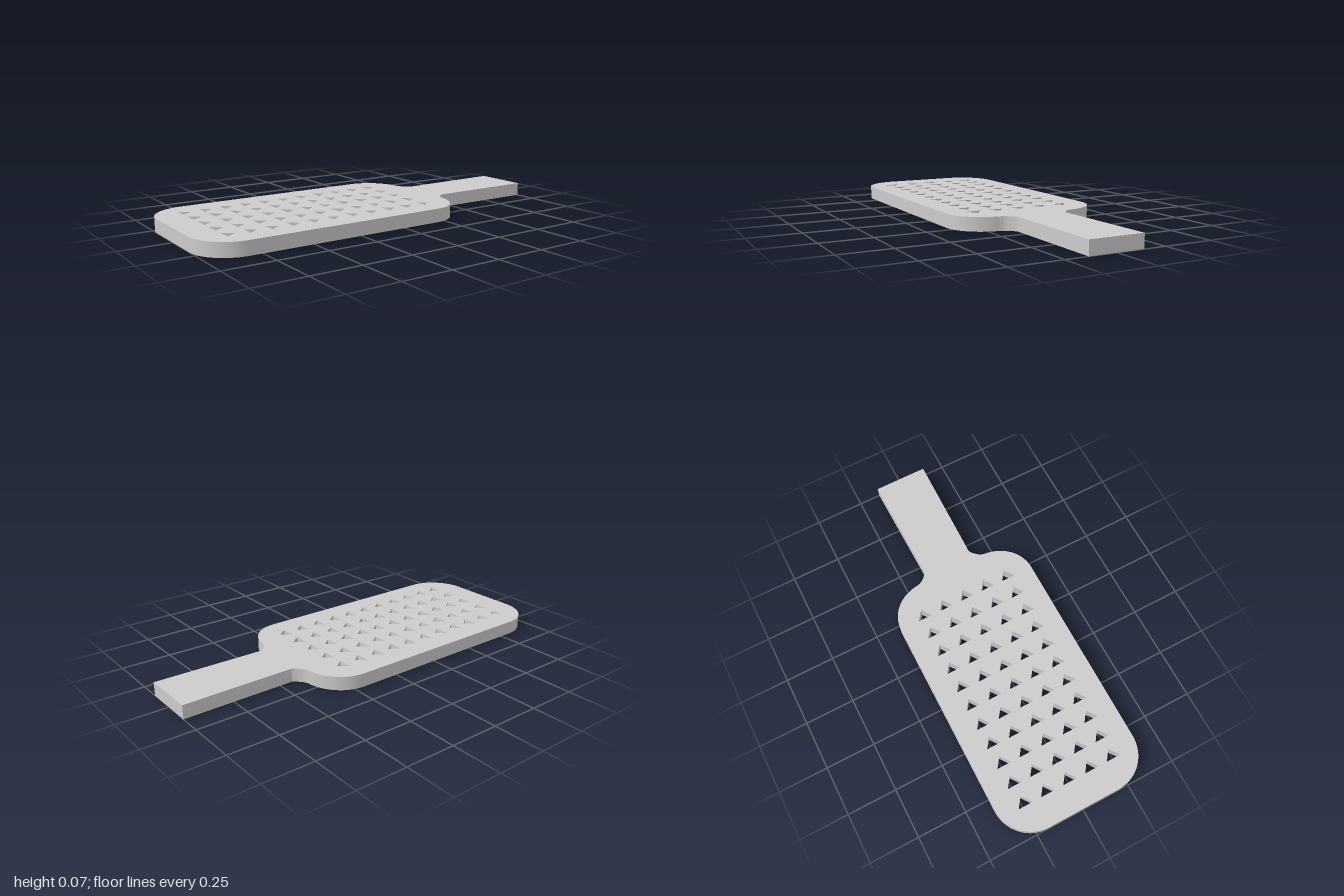
import * as THREE from 'three';
import { toCreasedNormals } from 'three/addons/utils/BufferGeometryUtils.js';

const THICKNESS = 0.068;

// Traces the rounded blade, inset by d, and the concave neck on both sides.
function traceBlade(path, d, neckX, neckZ) {
  const side = 0.378 - d, left = -1 + d, r = 0.19 - d, right = 0.385 - d;
  path.moveTo(neckX, -neckZ);
  path.quadraticCurveTo(right + 0.008, -0.158 + d * 0.4, right, -0.19 + d * 0.3);
  path.bezierCurveTo(right - 0.01, -0.3 + d, 0.3 - d * 0.5, -side, 0.2, -side);
  path.lineTo(left + r, -side);
  path.absarc(left + r, -side + r, r, -Math.PI / 2, -Math.PI, true);
  path.lineTo(left, side - r);
  path.absarc(left + r, side - r, r, Math.PI, Math.PI / 2, true);
  path.lineTo(0.2, side);
  path.bezierCurveTo(0.3 - d * 0.5, side, right - 0.01, 0.3 - d, right, 0.19 - d * 0.3);
  path.quadraticCurveTo(right + 0.008, 0.158 - d * 0.4, neckX, neckZ);
}

// Extrudes a plan outline upwards from the ground, keeping curved walls smooth.
function plate(name, shape, color) {
  const geometry = new THREE.ExtrudeGeometry(shape, {
    depth: THICKNESS, bevelEnabled: false, curveSegments: 16,
  });
  geometry.rotateX(-Math.PI / 2);
  const mesh = new THREE.Mesh(
    toCreasedNormals(geometry, 0.5),
    new THREE.MeshStandardMaterial({ color }),
  );
  mesh.name = name;
  return mesh;
}

export function createModel() {
  const group = new THREE.Group();
  group.name = 'perforatedPaddle';

  // Rim and slightly flared handle in one piece, open in the middle
  const frame = new THREE.Shape();
  traceBlade(frame, 0, 0.435, 0.13);
  frame.lineTo(1, 0.138);
  frame.lineTo(1, -0.138);
  frame.closePath();
  const opening = new THREE.Path();
  traceBlade(opening, 0.035, 0.43, 0.12);
  opening.closePath();
  frame.holes.push(opening);
  group.add(plate('rimAndHandle', frame, 0xcccccc));

  // Lighter inner panel pierced by rows of triangles pointing to the handle
  const panel = new THREE.Shape();
  traceBlade(panel, 0.035, 0.43, 0.12);
  panel.closePath();
  for (let row = -2; row <= 2; row++) {
    for (let col = 0; col < 11; col++) {
      const x = -0.862 + col * 0.1064, z = row * 0.12;
      panel.holes.push(new THREE.Path([
        new THREE.Vector2(x, z - 0.037),
        new THREE.Vector2(x + 0.05, z),
        new THREE.Vector2(x, z + 0.037),
        new THREE.Vector2(x, z - 0.037),
      ]));
    }
  }
  group.add(plate('perforatedPanel', panel, 0xe4e4e4));

  return group;
}
